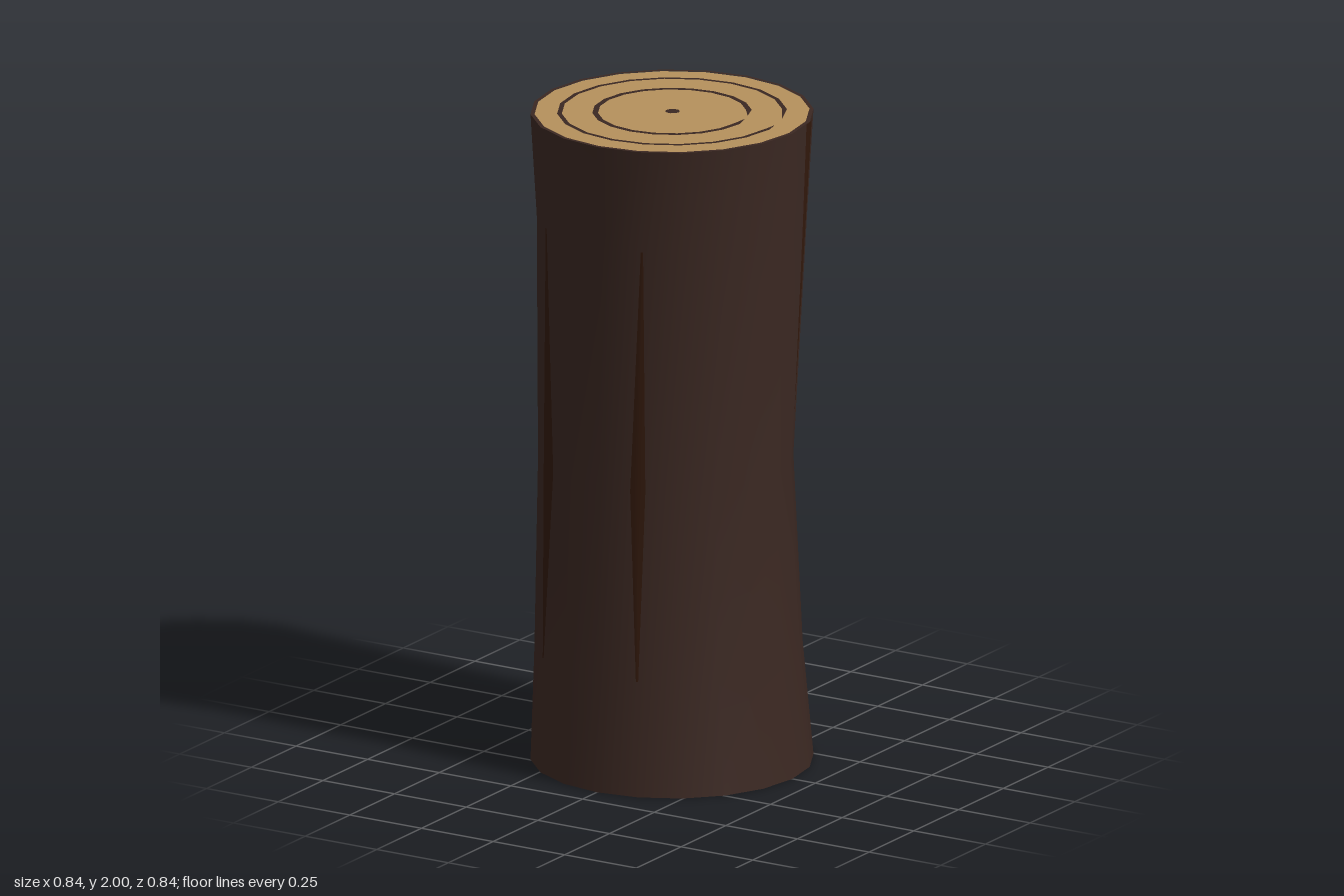
import * as THREE from 'three';

const SIDES = 20, STEP = Math.PI * 2 / SIDES, DEG = Math.PI / 180;

// Trunk cross-sections: height, centre x, centre z, radius x, radius z
const SECTIONS = [
  [0, 0, 0, 0.42, 0.42],
  [0.35, -0.012, 0, 0.398, 0.398],
  [0.93, -0.022, 0, 0.383, 0.37],
  [1.68, -0.005, -0.008, 0.405, 0.393],
  [2, 0, 0, 0.42, 0.42],
];

const paint = (color) => new THREE.MeshStandardMaterial({ color, roughness: 1 });

function add(group, name, geometry, material) {
  const mesh = new THREE.Mesh(geometry, material);
  mesh.name = name;
  group.add(mesh);
  return mesh;
}

// Joins equal rows of points; rows run upward and points run to the right
function loft(rows, closed) {
  const n = rows[0].length, index = [];
  for (let r = 0; r < rows.length - 1; r++) {
    for (let i = 0; i < (closed ? n : n - 1); i++) {
      const a = r * n + i, b = r * n + (i + 1) % n;
      index.push(a, b, b + n, a, b + n, a + n);
    }
  }
  const geo = new THREE.BufferGeometry();
  geo.setAttribute('position', new THREE.Float32BufferAttribute(rows.flat(2), 3));
  geo.setIndex(index);
  geo.computeVertexNormals();
  return geo;
}

// Point on the faceted bark at an angle (0 = front, growing toward +x) and height
function barkPoint(angle, y, lift = 0) {
  let s = 0;
  while (s < SECTIONS.length - 2 && y > SECTIONS[s + 1][0]) s++;
  const lo = SECTIONS[s], hi = SECTIONS[s + 1];
  const t = (y - lo[0]) / (hi[0] - lo[0]);
  const [cx, cz, rx, rz] = [1, 2, 3, 4].map((k) => lo[k] + (hi[k] - lo[k]) * t);
  const i = Math.floor(angle / STEP + 1e-6), f = angle / STEP - i;
  const mix = (fn) => fn(i * STEP) * (1 - f) + fn((i + 1) * STEP) * f;
  return [cx + mix(Math.sin) * (rx + lift), y, cz + mix(Math.cos) * (rz + lift)];
}

// Thin sliver lying on the bark; each row is [height, width in degrees]
function crackGeometry(centre, rows) {
  return loft(rows.map(([y, width]) => [-0.5, -0.25, 0, 0.25, 0.5].map((k) =>
    barkPoint((centre + k * width) * DEG, y, 0.003))), false);
}

// Growth ring with a gap, narrowing to a point at both ends
function growthRing(radius, width, startTip, endTip) {
  const inner = [], outer = [];
  const put = (deg, w) => {
    const c = Math.cos(deg * DEG), s = Math.sin(deg * DEG);
    inner.push([c * (radius - w / 2), 2, -s * (radius - w / 2)]);
    outer.push([c * (radius + w / 2), 2, -s * (radius + w / 2)]);
  };
  put(startTip, 0);
  for (let deg = 36; deg <= 360; deg += 18) put(deg, width);
  put(endTip, 0);
  return loft([outer, inner], false);
}

export function createModel() {
  const log = new THREE.Group();
  log.name = 'log';
  const bark = paint(0x3b2822), wood = paint(0xb5915c);
  const crack = paint(0x32190c), dark = paint(0x3a2722), core = paint(0x2a1b15);

  // Bark wall
  add(log, 'bark', loft(SECTIONS.map(([y]) =>
    Array.from({ length: SIDES }, (_, i) => barkPoint(i * STEP, y))), true), bark);

  // Bark rim and cut faces
  const rim = add(log, 'barkRim', new THREE.RingGeometry(0.408, 0.42, SIDES).rotateX(-Math.PI / 2), bark);
  rim.position.y = 2;
  const top = add(log, 'topCut', new THREE.CircleGeometry(0.41, SIDES).rotateX(-Math.PI / 2), wood);
  top.position.y = 1.998;
  const bottom = add(log, 'bottomCut', new THREE.CircleGeometry(0.42, SIDES).rotateX(Math.PI / 2), wood);
  bottom.position.y = 0.002;

  // Growth rings and pith
  add(log, 'innerRing', growthRing(0.228, 0.017, 21, 373), dark);
  add(log, 'outerRing', growthRing(0.334, 0.014, 19, 368), dark);
  const pith = add(log, 'topPith', new THREE.CircleGeometry(0.022, 10).rotateX(-Math.PI / 2), dark);
  pith.position.set(0, 2, -0.003);
  const base = add(log, 'bottomPith', new THREE.CircleGeometry(0.05, 10).rotateX(Math.PI / 2), core);
  base.scale.z = 0.9;

  // Long cracks, widest at the waist
  for (const [centre, width] of [[324, 11], [18.5, 7], [220, 7]]) {
    add(log, 'longCrack', crackGeometry(centre,
      [[0.35, 1], [0.93, width], [1.68, 1]]), crack);
  }
  // Short cracks running in from the ends
  add(log, 'topCrack', crackGeometry(108.5, [[1.08, 0], [1.68, 6], [2, 9.5]]), crack);
  add(log, 'bottomCrack', crackGeometry(145, [[0, 8], [0.35, 3.5], [0.6, 0]]), crack);

  return log;
}
